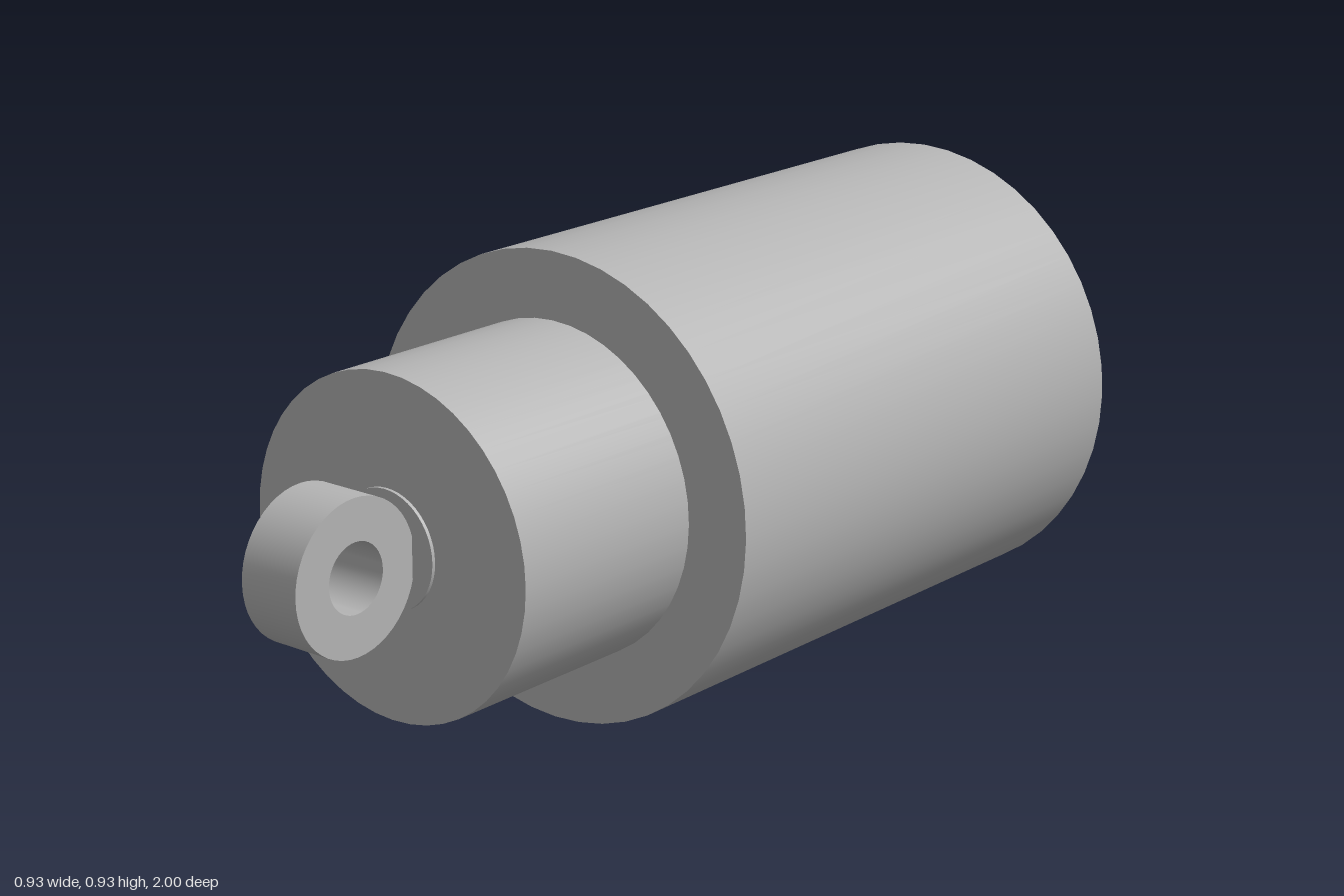
import * as THREE from 'three';
import { toCreasedNormals } from 'three/addons/utils/BufferGeometryUtils.js';

const AXIS_Y = 0.463;

export function createModel() {
  const group = new THREE.Group();
  const grey = new THREE.MeshStandardMaterial({ color: 0xb4b4b4 });
  grey.name = 'grey metal';

  const add = (name, geometry) => {
    const mesh = new THREE.Mesh(geometry, grey);
    mesh.name = name;
    mesh.position.y = AXIS_Y;
    group.add(mesh);
    return mesh;
  };

  // Solid cylinder lying along z
  const rod = (name, radius, z0, z1) => {
    const geometry = new THREE.CylinderGeometry(radius, radius, z1 - z0, 48);
    geometry.rotateX(Math.PI / 2).translate(0, 0, (z0 + z1) / 2);
    return add(name, geometry);
  };

  // Turned solid from a closed profile of [radius, height], with sharp rims
  const turned = (profile) => toCreasedNormals(
    new THREE.LatheGeometry(profile.map(([r, h]) => new THREE.Vector2(r, h)), 48), 0.6);

  // Inner piston runs through the sleeve and sticks out at both ends
  rod('piston', 0.33, -1, 0.703);
  rod('eyeBoss', 0.115, 0.69, 0.71);

  // Sleeve: snug on the piston at the front, with a ring gap open at the back
  const sleeve = turned([
    [0.33, 0.255], [0.33, 0.1], [0.365, 0.1], [0.365, -0.935],
    [0.463, -0.935], [0.463, 0.255], [0.33, 0.255],
  ]);
  add('sleeve', sleeve.rotateX(Math.PI / 2));

  // Mounting eye with its hole running along x
  const eye = turned([
    [0.067, -0.066], [0.148, -0.066], [0.148, 0.066], [0.067, 0.066], [0.067, -0.066],
  ]);
  add('mountingEye', eye.rotateZ(Math.PI / 2)).position.z = 0.852;

  return group;
}
